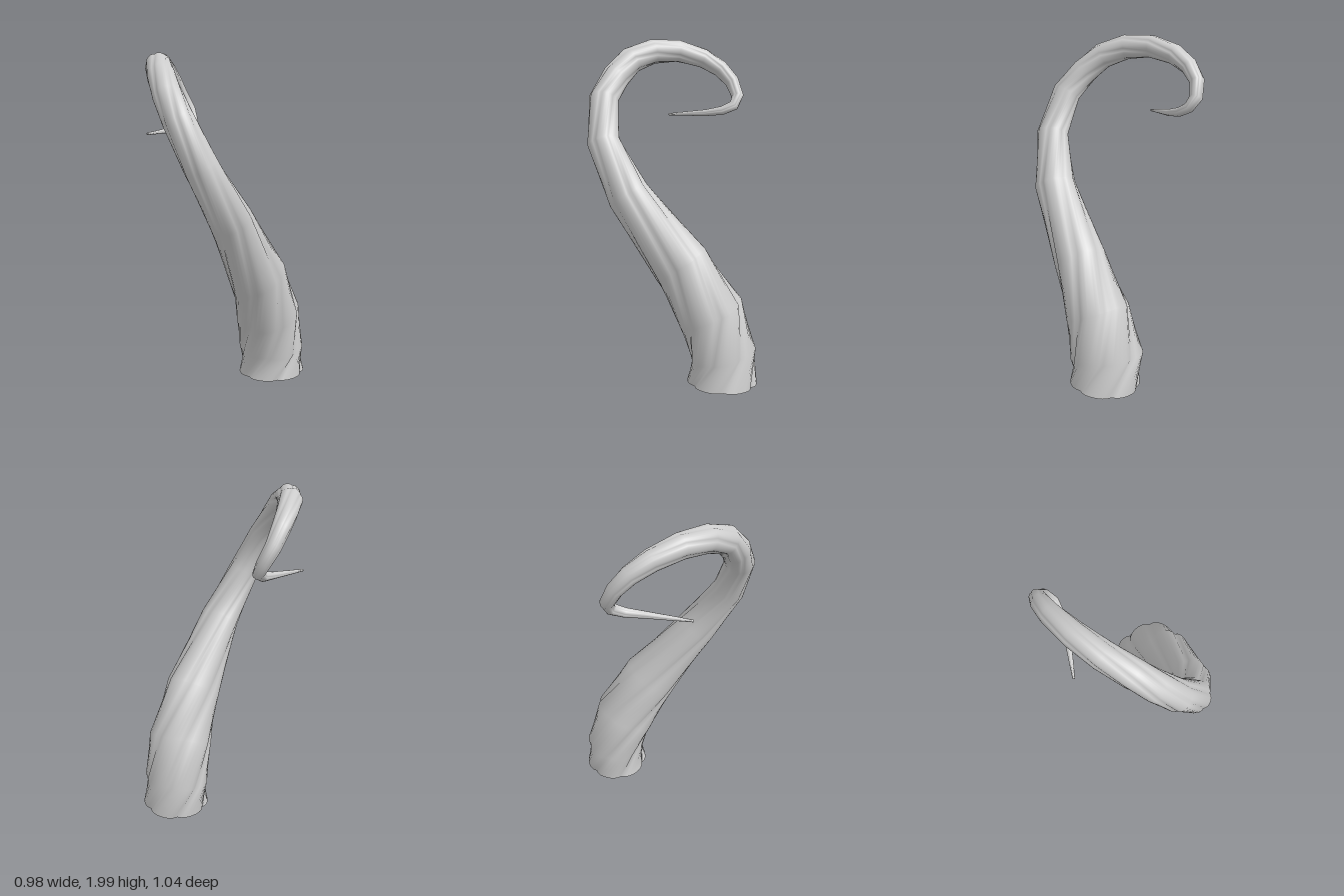
import * as THREE from 'three';

// Rings from base to tip: centre x, y, z, depth radius and (where it differs) width radius
const RINGS = [
  [0.16, 0.01, -0.32, 0.2, 0.203],
  [0.148, 0.185, -0.32, 0.185, 0.212],
  [0.187, 0.43, -0.255, 0.196, 0.187],
  [0.264, 0.715, -0.1, 0.174, 0.152],
  [0.365, 1.105, 0.183, 0.12, 0.122],
  [0.35, 1.4, 0.366, 0.095],
  [0.245, 1.643, 0.437, 0.085],
  [0.132, 1.77, 0.428, 0.081],
  [0.02, 1.868, 0.395, 0.077],
  [-0.115, 1.922, 0.326, 0.073],
  [-0.248, 1.928, 0.225, 0.067],
  [-0.36, 1.885, 0.107, 0.059],
  [-0.422, 1.82, 0.015, 0.051],
  [-0.449, 1.74, -0.055, 0.044],
  [-0.43, 1.65, -0.105, 0.038],
  [-0.388, 1.592, -0.101, 0.032],
  [-0.35, 1.56, -0.038, 0.027],
  [-0.316, 1.545, 0.06, 0.02],
  [-0.276, 1.53, 0.31, 0.007],
];
const SIDES = 48;   // points around a ring
const LOBES = 6;    // rounded strands separated by narrow creases

// Tapering creased tube, open at the base and closed at the tip
function hornGeometry() {
  const centres = RINGS.map(([x, y, z]) => new THREE.Vector3(x, y, z));
  const last = RINGS.length - 1;
  const positions = [];
  const indices = [];
  const normal = new THREE.Vector3(0, 0, 1);
  const tangent = new THREE.Vector3();
  const binormal = new THREE.Vector3();
  const p = new THREE.Vector3();

  RINGS.forEach(([, , , depth, width = depth], i) => {
    const before = centres[Math.max(i - 1, 0)];
    const after = centres[Math.min(i + 1, last)];
    tangent.subVectors(after, before).normalize();
    // carry the frame along the path without added roll
    normal.addScaledVector(tangent, -normal.dot(tangent)).normalize();
    binormal.crossVectors(tangent, normal);

    const twist = 6 * (1 - (1 - i / last) ** 2);
    for (let j = 0; j < SIDES; j++) {
      const a = (j / SIDES) * Math.PI * 2;
      const crease = (1 - Math.abs(Math.sin(LOBES * a / 2))) ** 2;
      const r = 1.02 - 0.09 * crease;
      p.copy(centres[i])
        .addScaledVector(normal, depth * r * Math.cos(a + twist))
        .addScaledVector(binormal, width * r * Math.sin(a + twist));
      positions.push(p.x, Math.max(p.y, 0), p.z);
    }
  });

  // walls between neighbouring rings
  for (let i = 0; i < last; i++) {
    for (let j = 0; j < SIDES; j++) {
      const a = i * SIDES + j;
      const b = i * SIDES + ((j + 1) % SIDES);
      indices.push(a, b, a + SIDES, b, b + SIDES, a + SIDES);
    }
  }

  // tip cap
  const end = last * SIDES;
  positions.push(...centres[last].toArray());
  for (let j = 0; j < SIDES; j++) indices.push(end + j, end + ((j + 1) % SIDES), end + SIDES);

  const geometry = new THREE.BufferGeometry();
  geometry.setAttribute('position', new THREE.Float32BufferAttribute(positions, 3));
  geometry.setIndex(indices);
  geometry.computeVertexNormals();
  return geometry;
}

export function createModel() {
  const group = new THREE.Group();
  group.name = 'twistedHorn';
  const material = new THREE.MeshStandardMaterial({ color: 0xcccccc, side: THREE.DoubleSide });
  const horn = new THREE.Mesh(hornGeometry(), material);
  horn.name = 'horn';
  group.add(horn);
  return group;
}
